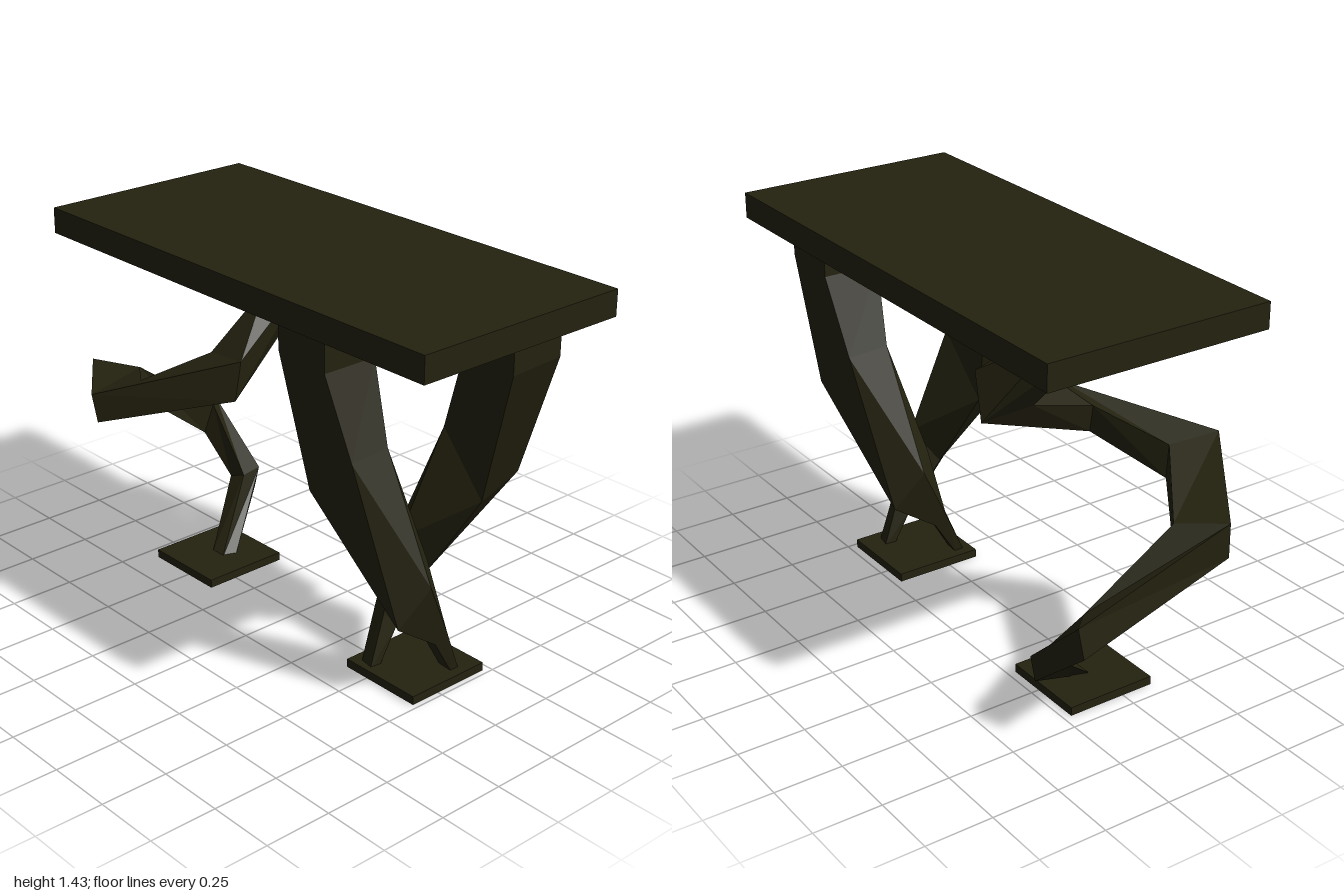
import * as THREE from 'three';

// Faceted limb: skins a chain of four-cornered cross-sections and caps both ends
function limb(rings, material, name) {
  const pos = [];
  const tri = (...pts) => pts.forEach((p) => pos.push(...p));
  for (let i = 0; i < rings.length - 1; i++) {
    const a = rings[i], b = rings[i + 1];
    for (let j = 0; j < 4; j++) {
      const k = (j + 1) % 4;
      tri(a[j], b[j], a[k]);
      tri(a[k], b[j], b[k]);
    }
  }
  const s = rings[0], e = rings[rings.length - 1];
  tri(s[0], s[1], s[2]);
  tri(s[0], s[2], s[3]);
  tri(e[0], e[2], e[1]);
  tri(e[0], e[3], e[2]);
  const geo = new THREE.BufferGeometry();
  geo.setAttribute('position', new THREE.Float32BufferAttribute(pos, 3));
  geo.computeVertexNormals();
  const mesh = new THREE.Mesh(geo, material);
  mesh.name = name;
  return mesh;
}

export function createModel() {
  const model = new THREE.Group();
  model.name = 'table';
  const wood = new THREE.MeshStandardMaterial({ color: 0x24220f });
  wood.name = 'dark olive wood';

  const slab = (name, w, h, d, x, y, z) => {
    const mesh = new THREE.Mesh(new THREE.BoxGeometry(w, h, d), wood);
    mesh.name = name;
    mesh.position.set(x, y, z);
    model.add(mesh);
  };

  // Table top and the two foot plates
  slab('tableTop', 0.862, 0.095, 1.887, 0.045, 1.383, 0.0565);
  slab('frontFoot', 0.34, 0.032, 0.33, 0.05, 0.016, 0.565);
  slab('rearFoot', 0.34, 0.032, 0.33, 0.05, 0.016, -0.525);

  // Front legs: one twisted leg and its half-turn copy, crossing above the foot
  // Corners: front outer, back outer, back inner, front inner
  const frontRings = [
    [[0.345, 1.34, 0.89], [0.345, 1.34, 0.665], [0.125, 1.34, 0.665], [0.125, 1.34, 0.89]],
    [[0.345, 1.2, 0.89], [0.345, 1.18, 0.665], [0.125, 1.18, 0.665], [0.125, 1.19, 0.89]],
    [[0.34, 0.74, 0.74], [0.315, 0.89, 0.565], [0.155, 0.9, 0.565], [0.21, 0.65, 0.7]],
    [[0.225, 0.3, 0.425], [0.12, 0.44, 0.38], [0.045, 0.48, 0.475], [0.145, 0.34, 0.52]],
    [[0.05, 0.18, 0.42], [0.01, 0.22, 0.405], [-0.025, 0.21, 0.48], [0.025, 0.165, 0.5]],
    [[-0.055, 0.02, 0.44], [-0.09, 0.02, 0.44], [-0.1, 0.02, 0.495], [-0.06, 0.02, 0.5]],
  ];
  const halfTurn = ([x, y, z]) => [0.05 - x, y, 1.13 - z];
  model.add(limb(frontRings, wood, 'frontLeftLeg'));
  model.add(limb(frontRings.map((r) => r.map(halfTurn)), wood, 'frontRightLeg'));

  // Rear leg zigzags from the top through four bends to the rear foot
  const rearRings = [
    [[0.17, 1.34, -0.48], [0.22, 1.34, -0.58], [0.05, 1.34, -0.63], [0, 1.34, -0.53]],
    [[0.36, 1.18, -0.33], [0.39, 1.03, -0.41], [0.2, 1.05, -0.43], [0.14, 1.15, -0.34]],
    [[-0.12, 0.82, -0.2], [-0.1, 0.84, -0.34], [-0.09, 0.95, -0.37], [-0.1, 0.97, -0.19]],
    [[-0.465, 0.72, -0.56], [-0.27, 0.7, -0.55], [-0.27, 0.83, -0.56], [-0.48, 0.83, -0.57]],
    [[-0.17, 0.63, -1], [-0.07, 0.62, -0.84], [-0.05, 0.73, -0.86], [-0.17, 0.755, -1]],
    [[0.33, 0.37, -0.9], [0.25, 0.37, -0.85], [0.28, 0.49, -0.83], [0.34, 0.48, -0.88]],
    [[0.35, 0.17, -0.66], [0.26, 0.23, -0.7], [0.26, 0.26, -0.62], [0.355, 0.26, -0.64]],
    [[0.09, 0.02, -0.52], [0.03, 0.02, -0.54], [0.03, 0.02, -0.48], [0.08, 0.02, -0.46]],
  ];
  model.add(limb(rearRings, wood, 'rearLeg'));
  return model;
}
